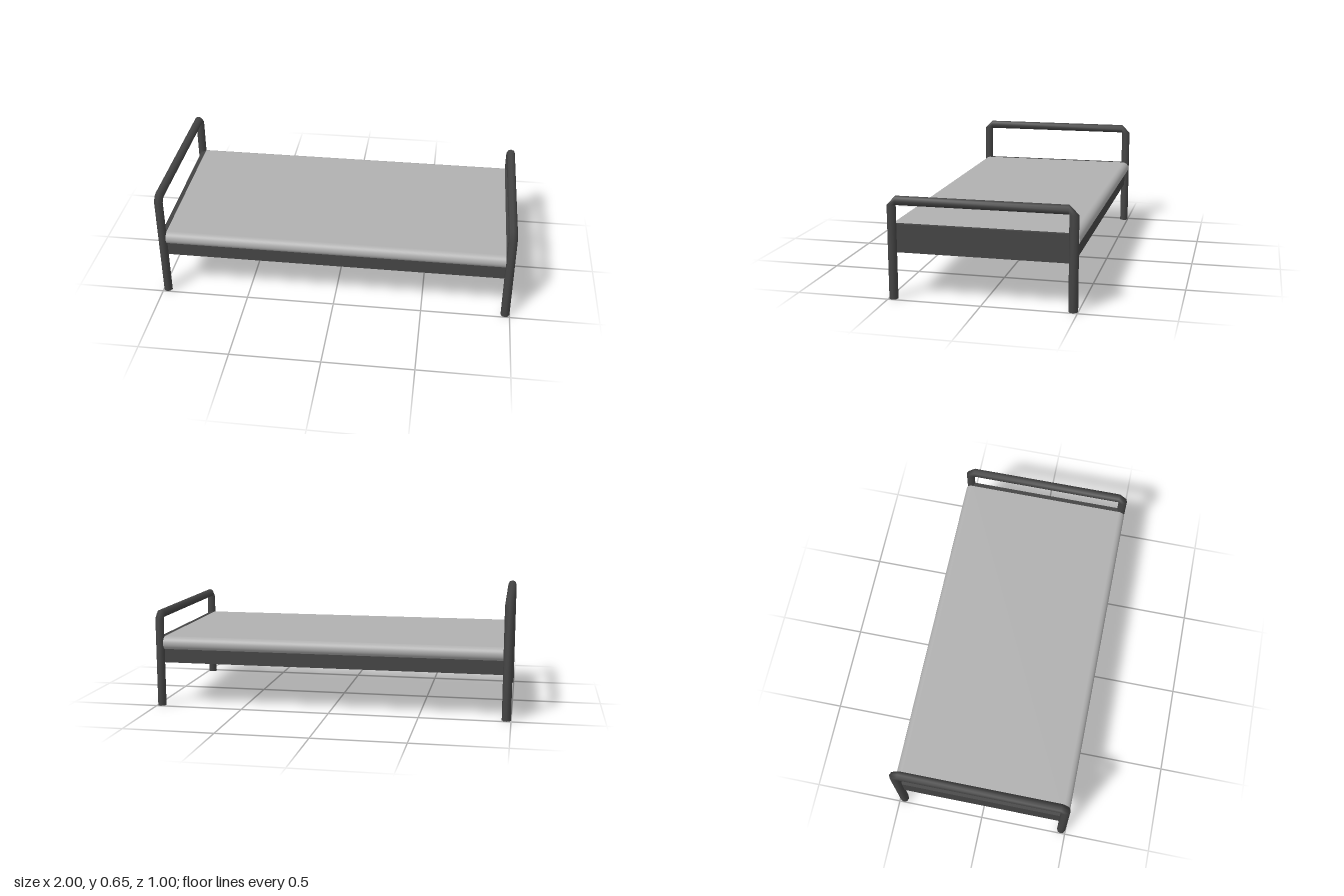
import * as THREE from 'three';

const R = 0.025; // tube radius
const SIDES = 8;

// Bent tube frame: legs and top bar, mitred around a sharp inner corner
function tubeGeometry(height) {
  const zi = 0.45, yi = height - 2 * R;
  // each ring: inner point (z, y) and outward direction (z, y)
  const rings = [
    [zi, 0, 1, 0], [zi, yi, 1, 0], [zi, yi, 0, 1],
    [-zi, yi, 0, 1], [-zi, yi, -1, 0], [-zi, 0, -1, 0],
  ];
  const pos = [], index = [];
  rings.forEach(([z, y, dz, dy], i) => {
    for (let j = 0; j < SIDES; j++) {
      const a = (j / SIDES) * Math.PI * 2;
      const u = R + R * Math.cos(a);
      pos.push(R * Math.sin(a), y + dy * u, z + dz * u);
      if (i < rings.length - 1) {
        const k = (j + 1) % SIDES;
        const p = i * SIDES + j, q = i * SIDES + k;
        index.push(p, q, q + SIDES, p, q + SIDES, p + SIDES);
      }
    }
  });
  const g = new THREE.BufferGeometry();
  g.setAttribute('position', new THREE.Float32BufferAttribute(pos, 3));
  g.setIndex(index);
  g.computeVertexNormals();
  return g;
}

// Slab with half-round long edges, running along x
function mattressGeometry() {
  const r = 0.0375, z = 0.5 - r, half = 0.95;
  const s = new THREE.Shape();
  s.moveTo(-z, -r);
  s.lineTo(z, -r);
  s.absarc(z, 0, r, -Math.PI / 2, Math.PI / 2, false);
  s.lineTo(-z, r);
  s.absarc(-z, 0, r, Math.PI / 2, Math.PI * 1.5, false);
  const g = new THREE.ExtrudeGeometry(s, { depth: 2 * half, bevelEnabled: false, curveSegments: 12 });
  g.translate(0, 0, -half).rotateY(Math.PI / 2).translate(0, 0.4 - r, 0);
  // smooth the rounded edges by deriving normals from the profile
  const p = g.attributes.position, n = g.attributes.normal;
  for (let i = 0; i < p.count; i++) {
    if (Math.abs(n.getX(i)) > 0.5) continue;
    const dz = Math.sign(p.getZ(i)) * Math.max(0, Math.abs(p.getZ(i)) - z);
    const v = new THREE.Vector3(0, p.getY(i) - (0.4 - r), dz).normalize();
    n.setXYZ(i, v.x, v.y, v.z);
  }
  return g;
}

export function createModel() {
  const model = new THREE.Group();
  const frame = new THREE.MeshStandardMaterial({ color: 0x444444 });
  frame.name = 'dark metal';
  const fabric = new THREE.MeshStandardMaterial({ color: 0xb0b0b0 });
  fabric.name = 'grey fabric';

  const add = (parent, name, geometry, material, x = 0, y = 0, z = 0) => {
    const m = new THREE.Mesh(geometry, material);
    m.name = name;
    m.position.set(x, y, z);
    parent.add(m);
  };

  // Headboard on the right end, lower footboard on the left end
  for (const [name, side, height] of [['headboard', -1, 0.65], ['footboard', 1, 0.55]]) {
    const end = new THREE.Group();
    end.name = name;
    add(end, name + 'Tube', tubeGeometry(height), frame, side * 0.975);
    add(end, name + 'Panel', new THREE.BoxGeometry(0.025, 0.15, 0.95), frame, side * 0.9625, 0.325);
    for (const z of [-0.475, 0.475]) {
      add(end, 'footCap', new THREE.CircleGeometry(R, SIDES).rotateX(Math.PI / 2), frame, side * 0.975, 0, z);
    }
    model.add(end);
  }

  // Bed base and mattress
  add(model, 'bedBase', new THREE.BoxGeometry(1.9, 0.08, 0.95), frame, 0, 0.29);
  add(model, 'mattress', mattressGeometry(), fabric);
  return model;
}
